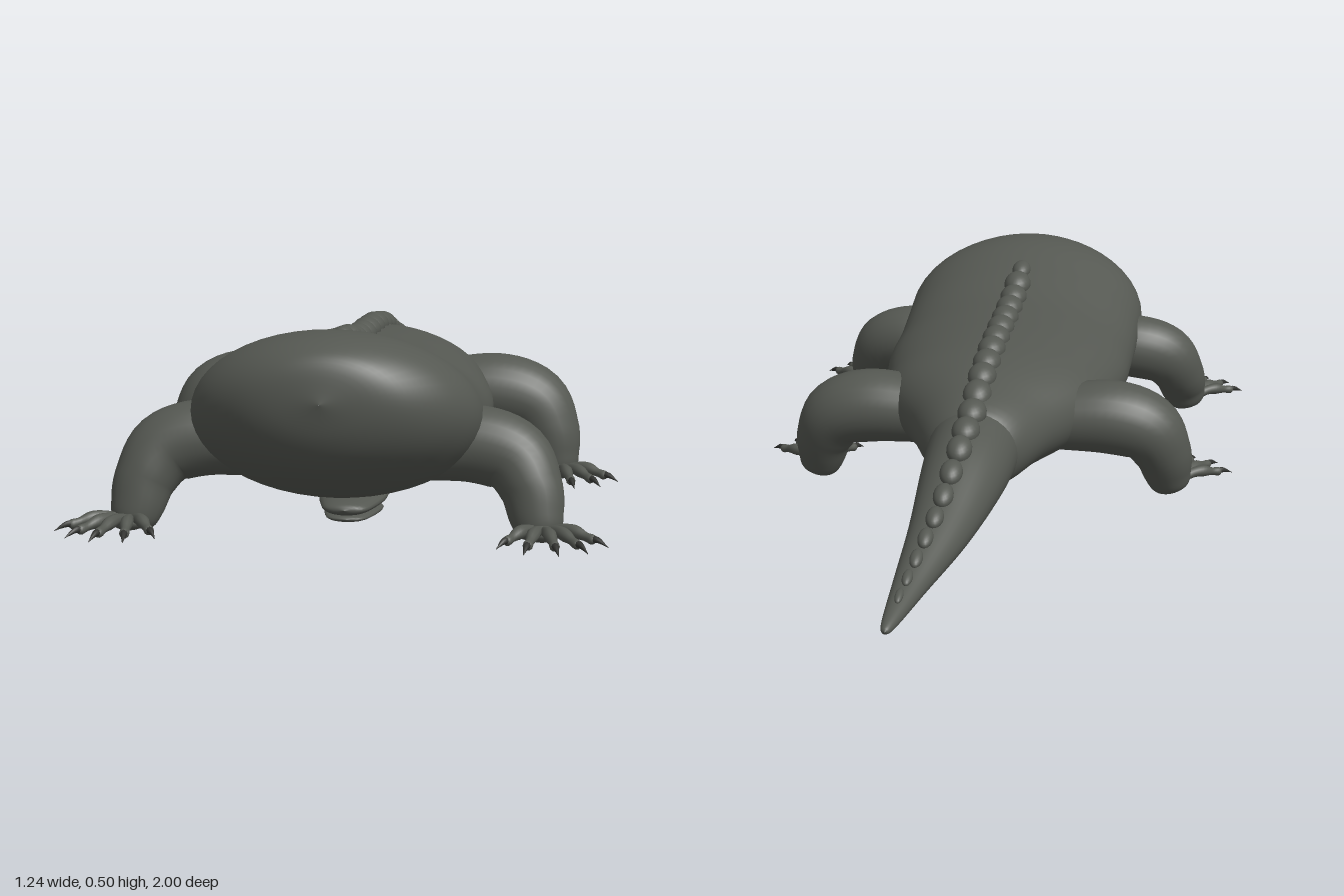
import * as THREE from 'three';

const skin = new THREE.MeshStandardMaterial({ color: 0x555852, roughness: 0.9 });
const clawSkin = new THREE.MeshStandardMaterial({ color: 0x333431, roughness: 0.8 });
const V = (x, y, z) => new THREE.Vector3(x, y, z);

// Smooth path through stations [x, y, z, halfWidth, halfHeight].
function makePath(stations) {
  const centre = new THREE.CatmullRomCurve3(stations.map(s => V(s[0], s[1], s[2])), false, 'catmullrom', 0.5);
  const size = new THREE.CatmullRomCurve3(stations.map(s => V(s[3], s[4] ?? s[3], 0)), false, 'catmullrom', 0.5);
  return { centre, size };
}

// Skin of elliptical rings along a path; "up" sets the height axis of each ring.
function loft(stations, up, rings, sides, fixedDir) {
  const { centre, size } = makePath(stations);
  const pos = [], idx = [];
  for (let i = 0; i <= rings; i++) {
    const c = centre.getPoint(i / rings), r = size.getPoint(i / rings);
    const t = fixedDir ?? centre.getTangent(i / rings);
    const n = up.clone().addScaledVector(t, -up.dot(t)).normalize();
    const b = n.clone().cross(t);
    for (let j = 0; j < sides; j++) {
      const a = j / sides * Math.PI * 2;
      const p = c.clone().addScaledVector(b, Math.max(r.x, 0.0005) * Math.cos(a))
        .addScaledVector(n, Math.max(r.y, 0.0005) * Math.sin(a));
      pos.push(p.x, p.y, p.z);
      if (i < rings) {
        const k = i * sides + j, l = i * sides + (j + 1) % sides;
        idx.push(k, l, k + sides, l, l + sides, k + sides);
      }
    }
  }
  const g = new THREE.BufferGeometry();
  g.setAttribute('position', new THREE.Float32BufferAttribute(pos, 3));
  g.setIndex(idx);
  g.computeVertexNormals();
  return g;
}

function add(parent, name, geometry, material = skin) {
  const m = new THREE.Mesh(geometry, material);
  m.name = name;
  parent.add(m);
  return m;
}

function ellipsoid(parent, name, p, r, material) {
  const m = add(parent, name, new THREE.SphereGeometry(1, 20, 14), material);
  m.position.set(...p);
  m.scale.set(...r);
  return m;
}

// z, half width, top, bottom
const BODY = [
  [1, 0, 0.365, 0.365], [0.98, 0.13, 0.445, 0.28], [0.94, 0.213, 0.48, 0.215], [0.87, 0.285, 0.498, 0.16],
  [0.78, 0.325, 0.496, 0.115], [0.65, 0.328, 0.463, 0.096], [0.5, 0.325, 0.428, 0.09], [0.35, 0.323, 0.416, 0.092],
  [0.2, 0.3, 0.411, 0.1], [0.05, 0.268, 0.402, 0.112], [-0.1, 0.187, 0.38, 0.125], [-0.25, 0.108, 0.338, 0.14],
  [-0.27, 0, 0.24, 0.24],
].map(([z, w, t, b]) => [0, (t + b) / 2, z, w, (t - b) / 2]);

const TAIL = [
  [0, 0.245, -0.1, 0.115, 0.11], [0, 0.235, -0.25, 0.112, 0.105], [0.005, 0.213, -0.4, 0.1, 0.093],
  [0.023, 0.165, -0.6, 0.073, 0.06], [0.052, 0.122, -0.8, 0.042, 0.033], [0.073, 0.093, -0.97, 0.016, 0.014],
  [0.075, 0.09, -1, 0, 0],
];

// Height and sideways position of the back ridge at a given z.
function backAt(z) {
  const rows = z > -0.2 ? BODY : TAIL;
  const i = Math.max(1, rows.findIndex(r => r[2] <= z));
  const [a, b] = [rows[i - 1], rows[i]];
  const f = (z - a[2]) / (b[2] - a[2]);
  return [THREE.MathUtils.lerp(a[0], b[0], f), THREE.MathUtils.lerp(a[1] + a[4], b[1] + b[4], f)];
}

// Toe with two knuckles and a hooked claw, pointing along +z.
function makeToe(length) {
  const toe = new THREE.Group();
  toe.name = 'toe';
  add(toe, 'toeFlesh', loft([
    [0, 0, 0, 0.014], [0, 0.012, length * 0.25, 0.013], [0, 0.012, length * 0.45, 0.015],
    [0, 0.006, length * 0.62, 0.01], [0, 0.002, length * 0.75, 0.011], [0, 0, length * 0.8, 0],
  ], V(0, 1, 0), 20, 10));
  add(toe, 'claw', loft([
    [0, 0.002, length * 0.7, 0.009], [0, 0.004, length * 0.82, 0.007], [0, -0.008, length, 0],
  ], V(0, 1, 0), 8, 8), clawSkin);
  return toe;
}

function makeLeg(name, side, stations) {
  const leg = new THREE.Group();
  leg.name = name;
  add(leg, 'limb', loft(stations.map(([x, ...r]) => [x * side, ...r]), V(0, 0, 1), 32, 24));
  const [x, , z] = stations.at(-1);
  const foot = new THREE.Group();
  foot.name = 'foot';
  foot.position.set(x * side, 0.055, z);
  ellipsoid(foot, 'palm', [0, 0, 0.015], [0.042, 0.022, 0.045]);
  // Five toes fanned forwards and outwards
  [[-30, 0.16], [-8, 0.185], [13, 0.19], [32, 0.185], [54, 0.165]].forEach(([deg, len]) => {
    const a = THREE.MathUtils.degToRad(deg) * side;
    const toe = makeToe(len);
    toe.rotation.y = a;
    toe.position.set(Math.sin(a) * 0.02, 0, Math.cos(a) * 0.02);
    foot.add(toe);
  });
  leg.add(foot);
  return leg;
}

export function createModel() {
  const model = new THREE.Group();
  model.name = 'lizard';

  // Trunk and tail
  const back = V(0, 0, -1), up = V(0, 1, 0);
  add(model, 'body', loft(BODY, up, 72, 48, back));
  add(model, 'tail', loft(TAIL, up, 48, 32, back));

  // Row of scales along the back, shrinking towards the tail
  const ridge = new THREE.Group();
  ridge.name = 'backRidge';
  for (let z = 0.63, i = 0; z > -0.92; i++) {
    const k = z > -0.3 ? 1 : Math.max(0.25, 1 - (-0.3 - z) * 1.25);
    const s = i === 0 ? 0.7 : k;
    const [x, y] = backAt(z);
    const scale = ellipsoid(ridge, 'backScale', [x, y + 0.002 * s, z], [0.036 * s, 0.032 * s, 0.047 * (0.4 + 0.6 * s)]);
    scale.rotation.x = Math.atan2(y - backAt(z - 0.04)[1], 0.04) * -1;
    z -= 0.052 + 0.028 * k;
  }
  model.add(ridge);

  // Legs
  const front = [
    [0.2, 0.225, 0.7, 0.08, 0.08], [0.31, 0.23, 0.7, 0.088, 0.085], [0.395, 0.205, 0.715, 0.085, 0.08],
    [0.437, 0.145, 0.745, 0.072, 0.07], [0.452, 0.085, 0.772, 0.062, 0.052], [0.462, 0.045, 0.782, 0.045, 0.038],
    [0.465, 0.032, 0.785, 0, 0],
  ];
  const rear = [
    [0.18, 0.235, 0.06, 0.085, 0.095], [0.31, 0.24, 0.06, 0.095, 0.098], [0.4, 0.215, 0.065, 0.09, 0.092],
    [0.443, 0.15, 0.08, 0.076, 0.078], [0.458, 0.085, 0.095, 0.062, 0.06], [0.466, 0.045, 0.105, 0.045, 0.042],
    [0.47, 0.032, 0.108, 0, 0],
  ];
  for (const [label, side] of [['left', 1], ['right', -1]]) {
    model.add(makeLeg(label + 'FrontLeg', side, front));
    model.add(makeLeg(label + 'RearLeg', side, rear));
  }

  // Small pair of jaws below the belly
  const jaws = new THREE.Group();
  jaws.name = 'jaws';
  add(jaws, 'upperJaw', loft([
    [0, 0.05, 0.63, 0, 0], [0, 0.05, 0.615, 0.045, 0.014], [0, 0.05, 0.56, 0.065, 0.02],
    [0, 0.05, 0.47, 0.08, 0.023], [0, 0.05, 0.4, 0.07, 0.022], [0, 0.048, 0.372, 0, 0],
  ], up, 28, 24, back));
  add(jaws, 'lowerJaw', loft([
    [0, 0.024, 0.61, 0, 0], [0, 0.024, 0.595, 0.04, 0.008], [0, 0.022, 0.53, 0.06, 0.013],
    [0, 0.017, 0.44, 0.068, 0.015], [0, 0.014, 0.395, 0.055, 0.013], [0, 0.014, 0.375, 0, 0],
  ], up, 28, 24, back));
  for (const s of [1, -1]) {
    ellipsoid(jaws, 'jawBump', [0.035 * s, 0.063, 0.45], [0.02, 0.015, 0.03]);
  }
  model.add(jaws);

  return model;
}
